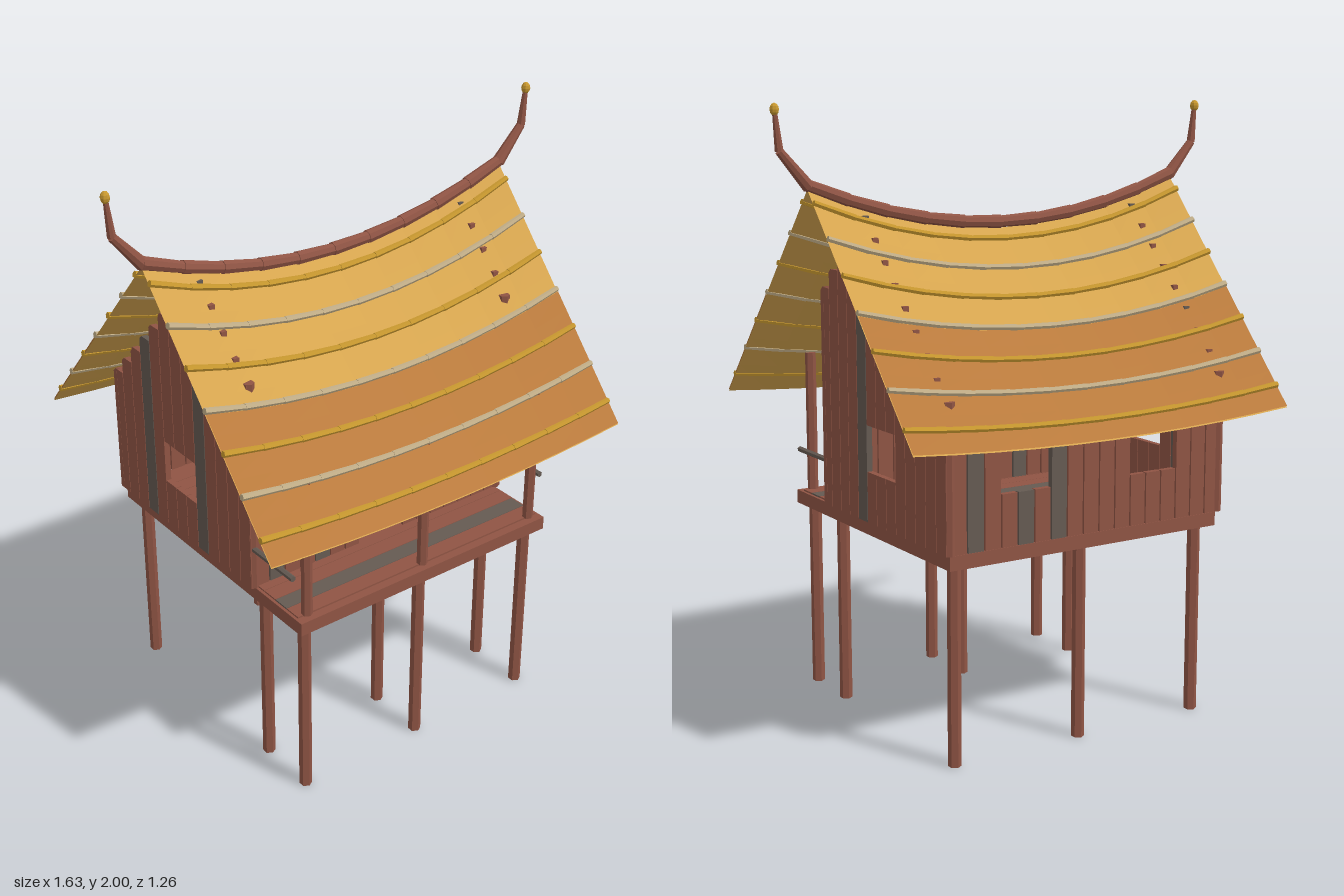
import * as THREE from 'three';

const mat = (name, color, double) => {
  const m = new THREE.MeshStandardMaterial({ color });
  m.name = name;
  m.flatShading = true;
  if (double) m.side = THREE.DoubleSide;
  return m;
};

// Roof surface height: falls towards the eaves and sweeps up at the gable ends
const HALF = 0.695, EAVE = 0.63, FLOOR = 0.685;
const roofY = (x, z) => {
  const t = Math.abs(z) / EAVE;
  return 1.595 - 0.597 * t + (x / HALF) ** 2 * (0.145 - 0.115 * t);
};
const ridgeY = (x) => 1.615 + 0.138 * (x / HALF) ** 2;

export function createModel() {
  const model = new THREE.Group();
  model.name = 'stiltHouse';
  const M = {
    wood: mat('red brown wood', 0x8f5444),
    grey: mat('weathered grey wood', 0x655a52),
    thatch: mat('golden thatch', 0xd6a54f, true),
    thatchLow: mat('orange thatch', 0xba7b3d, true),
    gold: mat('gold batten', 0xc8982f),
    pale: mat('pale batten', 0xc2ae88),
  };

  const group = (name) => {
    const g = new THREE.Group();
    g.name = name;
    model.add(g);
    return g;
  };
  const box = (parent, name, m, w, h, d, x, y, z) => {
    const mesh = new THREE.Mesh(new THREE.BoxGeometry(w, h, d), m);
    mesh.name = name;
    mesh.position.set(x, y, z);
    parent.add(mesh);
  };
  const rod = (parent, name, m, a, b, r1, r2 = r1, sides = 6) => {
    const A = new THREE.Vector3(...a), B = new THREE.Vector3(...b);
    const dir = B.clone().sub(A);
    const mesh = new THREE.Mesh(new THREE.CylinderGeometry(r2, r1, dir.length(), sides), m);
    mesh.name = name;
    mesh.position.copy(A).add(B).multiplyScalar(0.5);
    mesh.quaternion.setFromUnitVectors(new THREE.Vector3(0, 1, 0), dir.normalize());
    parent.add(mesh);
  };

  // Stilts
  const stilts = group('stilts');
  for (const x of [-0.46, 0, 0.46])
    for (const z of [0.463, 0.257, -0.457])
      rod(stilts, 'stilt', M.wood, [x, 0, z], [x, 0.66, z], 0.021);

  // Floor frame and boards
  const floor = group('floor');
  for (const s of [-1, 1]) {
    box(floor, 'sideBeam', M.wood, 0.03, 0.045, 1.02, s * 0.49, 0.6585, 0);
    box(floor, 'endBeam', M.wood, 0.95, 0.045, 0.03, 0, 0.6585, s * 0.495);
  }
  for (let i = 0; i < 16; i++)
    box(floor, 'floorBoard', [1, 6, 11].includes(i) ? M.grey : M.wood,
      0.99, 0.02, 0.058, 0, 0.676, 0.45 - i * 0.06);

  // One plank, interrupted by an opening when given
  const plank = (parent, m, w, d, x, z, top, hole) => {
    const spans = hole ? [[FLOOR, hole[0]], [hole[1], top]] : [[FLOOR, top]];
    for (const [a, b] of spans)
      if (b > a + 0.005) box(parent, 'plank', m, w, b - a, d, x, (a + b) / 2, z);
  };
  const windowHole = [0.85, 1.0];

  // Gable walls, their stepped plank tops just piercing the roof
  for (const s of [-1, 1]) {
    const wall = group(s > 0 ? 'leftGableWall' : 'rightGableWall');
    const greys = s > 0 ? [4] : [4, 9];
    for (let i = 0; i < 13; i++) {
      const z = 0.24 - i * 0.0608;
      const top = roofY(0.51, Math.abs(z) + 0.028) + 0.015;
      plank(wall, greys.includes(i) ? M.grey : M.wood, 0.02, 0.058, s * 0.512, z, top,
        i >= 5 && i <= 7 ? windowHole : null);
    }
    // Corner posts
    for (const z of [0.257, -0.508])
      rod(wall, 'cornerPost', M.wood, [s * 0.506, FLOOR, z], [s * 0.506, roofY(0.51, z) + 0.006, z], 0.019);
  }

  // Front wall with doorway, back wall with two windows
  const front = group('frontWall'), back = group('backWall');
  for (let i = 0; i < 17; i++) {
    const x = -0.48 + i * 0.06;
    const near = Math.abs(x) + 0.001;
    plank(front, [1, 4].includes(i) ? M.grey : M.wood, 0.055, 0.02, x, 0.257,
      roofY(x, 0.267) - 0.005, near < 0.07 ? [FLOOR, 1.12] : null);
    plank(back, [10, 12, 15].includes(i) ? M.grey : M.wood, 0.055, 0.02, x, -0.51,
      roofY(x, 0.52) - 0.005, near > 0.15 && near < 0.32 ? windowHole : null);
  }

  // Verandah posts and side rails
  const verandah = group('verandah');
  for (const x of [-0.46, 0, 0.46])
    rod(verandah, 'verandahPost', M.wood, [x, FLOOR, 0.478], [x, roofY(x, 0.478) - 0.008, 0.478], 0.018);
  for (const s of [-1, 1])
    rod(verandah, 'sideRail', M.grey, [s * 0.508, 0.83, 0.475], [s * 0.508, 0.83, 0.26], 0.01);

  // Roof sheets: golden over the whole slope, orange laid over the lower courses
  const sheet = (name, m, s, z0, z1, lift) => {
    const g = new THREE.PlaneGeometry(1, 1, 10, 7);
    const p = g.attributes.position;
    for (let i = 0; i < p.count; i++) {
      const x = p.getX(i) * 2 * HALF;
      const z = s * (z0 + (z1 - z0) * (0.5 - p.getY(i)));
      p.setXYZ(i, x * s, roofY(x, z) + lift, z);
    }
    g.computeVertexNormals();
    const mesh = new THREE.Mesh(g, m);
    mesh.name = name;
    return mesh;
  };
  for (const s of [-1, 1]) {
    const roof = group(s > 0 ? 'frontRoof' : 'backRoof');
    roof.add(sheet('upperThatch', M.thatch, s, 0, EAVE, 0));
    roof.add(sheet('lowerThatch', M.thatchLow, s, 0.315, EAVE + 0.001, 0.006));
    // Jointed cane battens across each course
    for (let k = 0; k < 7; k++) {
      const z = 0.041 + k * 0.0895;
      for (let j = 0; j < 10; j++) {
        const x = -HALF + j * HALF / 5, x2 = x + HALF / 5;
        rod(roof, 'batten', k % 2 ? M.pale : M.gold,
          [x, roofY(x, z) + 0.009, s * z], [x2, roofY(x2, z) + 0.009, s * z], 0.0108, 0.0092);
      }
    }
  }

  // Jointed ridge pole with upswept horns and finials
  const ridge = group('ridge');
  for (let j = 0; j < 10; j++) {
    const x = -HALF + j * HALF / 5, x2 = x + HALF / 5;
    rod(ridge, 'ridgePole', M.wood, [x, ridgeY(x), 0], [x2, ridgeY(x2), 0], 0.022, 0.019, 8);
  }
  for (const s of [-1, 1]) {
    const pts = [[0.69, 1.748], [0.785, 1.857], [0.797, 1.972]];
    const radii = [0.021, 0.014, 0.008];
    for (let i = 0; i < 2; i++)
      rod(ridge, 'horn', M.wood, [s * pts[i][0], pts[i][1], 0],
        [s * pts[i + 1][0], pts[i + 1][1], 0], radii[i], radii[i + 1], 8);
    const ball = new THREE.Mesh(new THREE.SphereGeometry(0.015, 8, 6), M.gold);
    ball.name = 'finial';
    ball.scale.y = 1.3;
    ball.position.set(s * 0.798, 1.9805, 0);
    ridge.add(ball);
  }
  return model;
}
